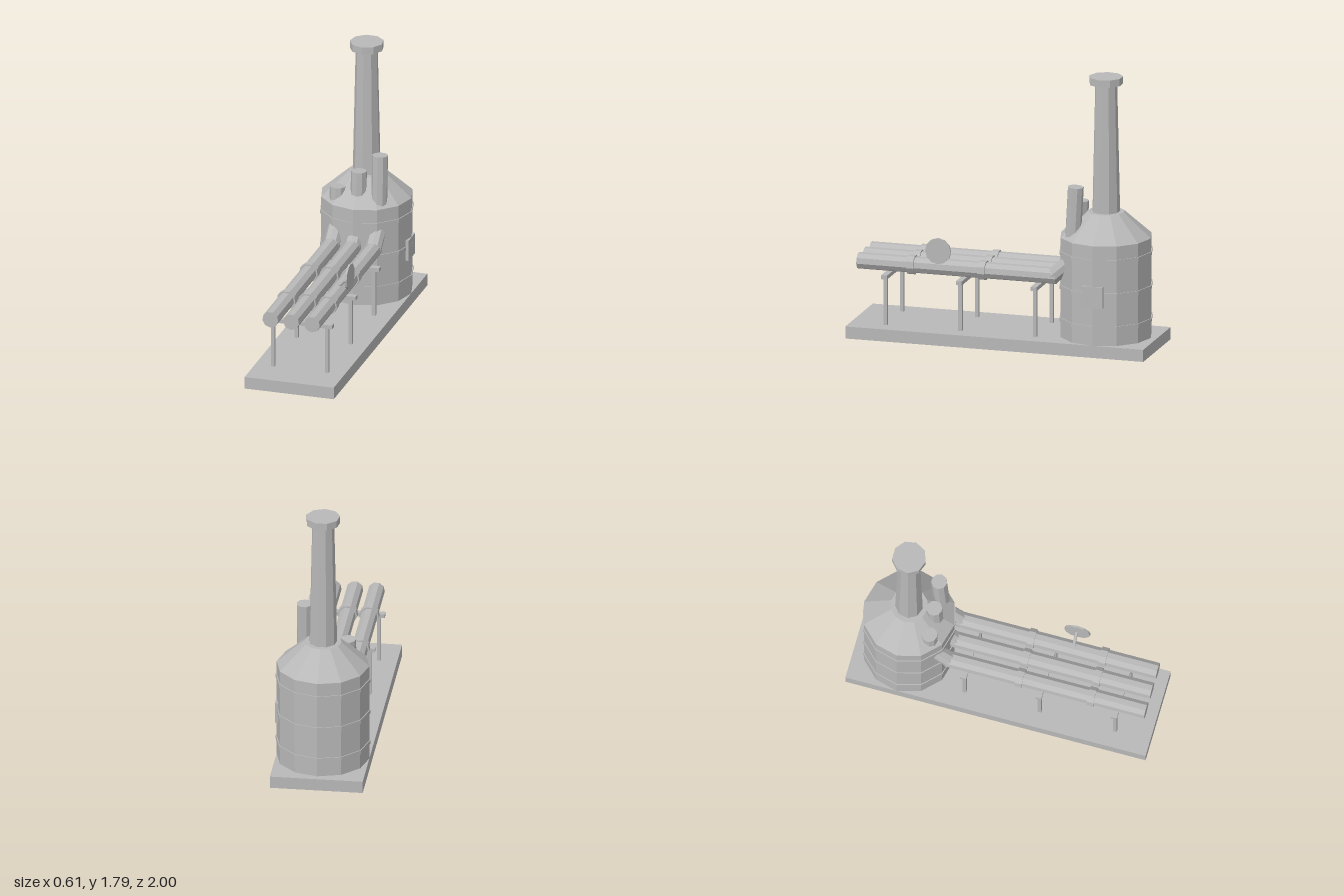
import * as THREE from 'three';

export function createModel() {
  const model = new THREE.Group();
  model.name = 'boilerPlant';

  const metal = new THREE.MeshStandardMaterial({ color: 0xb8b8b8 });
  metal.name = 'plainGrey';
  metal.flatShading = true;

  const add = (name, geometry, x, y, z) => {
    const mesh = new THREE.Mesh(geometry, metal);
    mesh.name = name;
    mesh.position.set(x, y, z);
    model.add(mesh);
    return mesh;
  };
  const box = (name, w, h, d, x, y, z) => add(name, new THREE.BoxGeometry(w, h, d), x, y, z);
  // upright cylinder between two heights
  const drum = (name, rTop, rBottom, y0, y1, sides, z) =>
    add(name, new THREE.CylinderGeometry(rTop, rBottom, y1 - y0, sides), 0, (y0 + y1) / 2, z);
  // straight pipe between two points
  const rod = (name, r, sides, from, to) => {
    const a = new THREE.Vector3(...from), b = new THREE.Vector3(...to);
    const dir = b.clone().sub(a);
    const mesh = add(name, new THREE.CylinderGeometry(r, r, dir.length(), sides), 0, 0, 0);
    mesh.position.copy(a).add(b).multiplyScalar(0.5);
    mesh.quaternion.setFromUnitVectors(new THREE.Vector3(0, 1, 0), dir.normalize());
    return mesh;
  };

  const tankZ = -0.658, pipeY = 0.482;

  box('base', 0.6, 0.08, 2, 0, 0.04, 0);

  // Boiler tank with shoulder, bands and chimney
  drum('tank', 0.3, 0.3, 0.08, 0.74, 12, tankZ);
  drum('tankShoulder', 0.12, 0.3, 0.74, 0.9, 12, tankZ);
  for (const y of [0.197, 0.415, 0.638]) drum('tankBand', 0.306, 0.306, y - 0.013, y + 0.013, 12, tankZ);
  drum('chimney', 0.072, 0.091, 0.88, 1.75, 9, tankZ);
  drum('chimneyCap', 0.11, 0.11, 1.745, 1.793, 9, tankZ);
  box('tankDoor', 0.02, 0.14, 0.14, 0.293, 0.402, tankZ);

  // Three parallel pipes, each with collars, an elbow and a vent of its own height
  const ventTops = [0.84, 0.96, 1.083];
  [-0.14, 0, 0.14].forEach((x, i) => {
    rod('pipe', 0.054, 9, [x, pipeY, -0.37], [x, pipeY, 0.96]);
    for (const z of [0.6, 0.122]) rod('pipeCollar', 0.064, 9, [x, pipeY, z - 0.023], [x, pipeY, z + 0.023]);
    rod('pipeElbow', 0.053, 9, [x, pipeY - 0.004, -0.345], [x, 0.6, -0.48]);
    const top = ventTops[i];
    rod('vent', 0.052, 9, [x, 0.74, -0.479], [x, top, -0.479 - (top - 0.74) * 0.054]);
  });

  // Trestles under the pipes
  for (const z of [0.765, 0.263, -0.238]) {
    box('trestleBeam', 0.44, 0.026, 0.04, 0, 0.403, z);
    for (const side of [-1, 1]) box('trestlePost', 0.024, 0.32, 0.024, side * 0.181, 0.235, z);
  }

  // Valve wheel on a slanted stem
  rod('valveStem', 0.01, 8, [0.13, 0.515, 0.398], [0.217, 0.605, 0.398]);
  rod('valveWheel', 0.086, 12, [0.212, 0.606, 0.402], [0.225, 0.606, 0.402]);

  return model;
}
